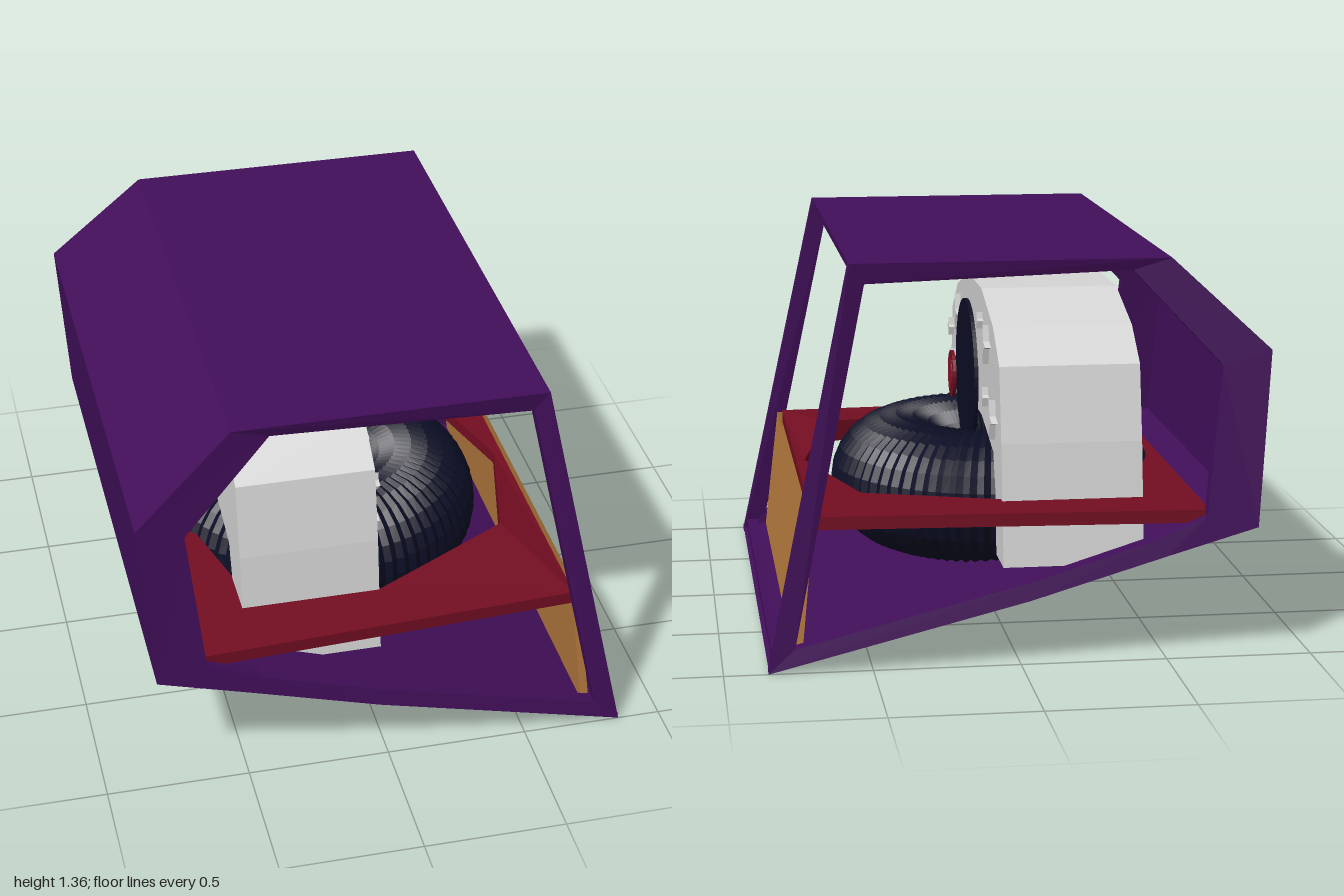
import * as THREE from 'three';

const paint = (name, color, extra = {}) => {
  const m = new THREE.MeshStandardMaterial({ color, flatShading: true, ...extra });
  m.name = name;
  return m;
};

export function createModel() {
  const model = new THREE.Group();
  const purple = paint('purple', 0x420f5a, { side: THREE.DoubleSide });
  const red = paint('dark red', 0x750e22);
  const crimson = paint('crimson', 0x8c152c);
  const orange = paint('orange', 0xb87c3e, { side: THREE.DoubleSide });
  const white = paint('pale grey', 0xd6d6d6);
  const navy = paint('navy', 0x0c0f26);

  const add = (name, geo, mat, parent = model) => {
    const mesh = new THREE.Mesh(geo, mat);
    mesh.name = name;
    parent.add(mesh);
    return mesh;
  };
  const quads = (list) => {
    const pos = [];
    for (const [a, b, c, d] of list) pos.push(...a, ...b, ...c, ...a, ...c, ...d);
    const g = new THREE.BufferGeometry();
    g.setAttribute('position', new THREE.Float32BufferAttribute(pos, 3));
    g.computeVertexNormals();
    return g;
  };
  const polygon = (pts) => pts.map(([a, b]) => new THREE.Vector2(a, b));
  // Extrudes a (z, y) outline along x, starting at x0
  const extrudeX = (pts, x0, depth) => new THREE.ExtrudeGeometry(
    new THREE.Shape(polygon(pts.map(([z, y]) => [-z, y]))), { depth, bevelEnabled: false },
  ).rotateY(Math.PI / 2).translate(x0, 0, 0);

  // Casing profile: outer x, y, inner x, y, half width in z
  const profile = [
    [-0.855, 1.06, -0.69, 1.01, 0.955],
    [-0.52, 1.37, -0.39, 1.33, 0.9],
    [0.56, 1.37, 0.51, 1.30, 0.9],
    [0.85, 0.01, 0.76, 0.09, 1],
    [-0.03, 0.23, -0.03, 0.29, 1],
    [-0.5, 0.37, -0.45, 0.42, 1],
    [-0.81, 0.46, -0.635, 0.50, 1],
  ];
  const casing = new THREE.Group();
  casing.name = 'casing';
  model.add(casing);
  const rim = 0.06;
  for (const s of [1, -1]) {
    const ring = profile.map(([ox, oy, ix, iy, h]) => [
      [ox, oy, s * h], [ix, iy, s * (h - 0.01)],
      [ix, iy, s * (h - rim)], [ox, oy, s * (h - rim)],
    ]);
    const faces = [];
    ring.forEach((a, i) => {
      const b = ring[(i + 1) % ring.length];
      for (let k = 0; k < 4; k++) {
        const n = (k + 1) % 4;
        faces.push([a[k], b[k], b[n], a[n]]);
      }
    });
    add(s > 0 ? 'frontFrame' : 'backFrame', quads(faces), purple, casing);
  }
  // Roof, rear wall and floor sheets; the +x side stays open
  const sheets = [];
  profile.forEach((p, i) => {
    if (i === 2) return;
    const q = profile[(i + 1) % profile.length];
    const lift = i >= 3 && i <= 5 ? 0.015 : 0;
    const at = (r, s) => [r[0], r[1] + lift, s * (r[4] - 0.002)];
    sheets.push([at(p, 1), at(q, 1), at(q, -1), at(p, -1)]);
  });
  add('shell', quads(sheets), purple, casing);
  add('roofBar', new THREE.BoxGeometry(0.03, 0.03, 1.76), purple, casing).position.set(0.54, 1.352, 0);
  add('sillBar', new THREE.BoxGeometry(0.04, 0.045, 1.9), purple, casing).position.set(0.815, 0.037, 0);

  // Tilted side panel
  const top = (x, s) => [x, 0.51, s * 0.885];
  const low = (x, s) => [x, 0.02, s * 0.92];
  const panel = [];
  for (const [a, b] of [[0.685, 0.735], [0.71, 0.765]]) {
    panel.push([top(a, 1), low(b, 1), low(b, -1), top(a, -1)]);
  }
  for (const s of [1, -1]) panel.push([top(0.685, s), low(0.735, s), low(0.765, s), top(0.71, s)]);
  panel.push([low(0.735, 1), low(0.765, 1), low(0.765, -1), low(0.735, -1)]);
  add('sidePanel', quads(panel), orange);

  // Table with a faceted opening; one corner of the opening is lifted
  const table = new THREE.Shape(polygon([[-0.65, -0.96], [0.69, -0.89], [0.69, 0.89], [-0.65, 0.96]]));
  table.holes.push(new THREE.Path(polygon([
    [0.66, 0.02], [0.5, 0.56], [0.03, 0.72], [-0.45, 0.56],
    [-0.6, 0], [-0.45, -0.56], [0.03, -0.72], [0.54, -0.48],
  ])));
  const tableGeo = new THREE.ExtrudeGeometry(table, { depth: 0.045, bevelEnabled: false })
    .rotateX(-Math.PI / 2).translate(0, 0.472, 0);
  const tp = tableGeo.attributes.position;
  for (let i = 0; i < tp.count; i++) {
    if (Math.hypot(tp.getX(i) - 0.54, tp.getZ(i) - 0.48) < 0.02 && tp.getY(i) > 0.5) tp.setY(i, 0.555);
  }
  tableGeo.computeVertexNormals();
  add('table', tableGeo, red);

  // Ribbed ring: every other tube section is pulled in
  const R = 0.35, r = 0.24, sections = 144, sides = 24;
  const ringGeo = new THREE.TorusGeometry(R, r, sides, sections);
  const rp = ringGeo.attributes.position;
  for (let j = 0; j <= sides; j++) {
    for (let i = 0; i <= sections; i++) {
      const u = (i / sections) * Math.PI * 2, v = (j / sides) * Math.PI * 2;
      const t = i % 2 ? r * 0.955 : r;
      const d = R + t * Math.cos(v);
      rp.setXYZ(j * (sections + 1) + i, d * Math.cos(u), d * Math.sin(u), t * Math.sin(v));
    }
  }
  ringGeo.rotateX(-Math.PI / 2);
  add('ribbedRing', ringGeo, navy).position.set(-0.03, 0.44, -0.01);

  // Arch standing through the table
  const half = [[0.77, 0.29], [0.735, 0.53], [0.71, 0.71], [0.655, 0.97], [0.50, 1.08], [0.19, 1.17]];
  const inner = [[0.2, 0.71], [0.51, 0.64], [0.565, 0.5], [0.59, 0.29]];
  const mirror = (pts) => pts.map(([z, y]) => [-z, y]).reverse();
  const arch = [...half, ...mirror(half), ...mirror(inner), ...inner].map(([z, y]) => [z - 0.015, y]);
  // Inner edge runs back from the far foot to the near foot
  const archOutline = [
    ...arch.slice(0, 12),
    ...arch.slice(12, 16),
    ...arch.slice(16),
  ];
  add('arch', extrudeX(archOutline, -0.46, 0.49), white);

  // Four-pointed stars on the arch face: z, y, radius
  const stars = new THREE.Group();
  stars.name = 'stars';
  model.add(stars);
  for (const [z, y, size] of [
    [0.40, 0.985, 0.07], [0.60, 0.895, 0.035], [0.56, 0.745, 0.07], [0.37, 0.795, 0.03],
    [-0.24, 1.06, 0.03], [-0.40, 1.0, 0.07], [-0.385, 0.81, 0.035], [-0.57, 0.765, 0.07],
  ]) {
    const pts = [];
    for (let k = 0; k < 8; k++) {
      const a = (k * Math.PI) / 4, d = k % 2 ? size * 0.28 : size;
      pts.push([z + d * Math.cos(a), y + d * Math.sin(a)]);
    }
    add('star', extrudeX(pts, 0.03, 0.022), white, stars);
  }

  // Round dial and its floating centre
  const disc = (name, radius, x, depth, mat, n) => {
    const g = new THREE.CylinderGeometry(radius, radius, depth, n).rotateZ(-Math.PI / 2);
    add(name, g, mat).position.set(x, 0.825, -0.012);
  };
  disc('dialNeck', 0.12, 0.04, 0.03, navy, 32);
  disc('dial', 0.275, 0.058, 0.014, navy, 48);
  disc('dialCentre', 0.085, 0.112, 0.012, red, 24);
  disc('dialCap', 0.058, 0.117, 0.008, crimson, 16);

  return model;
}
